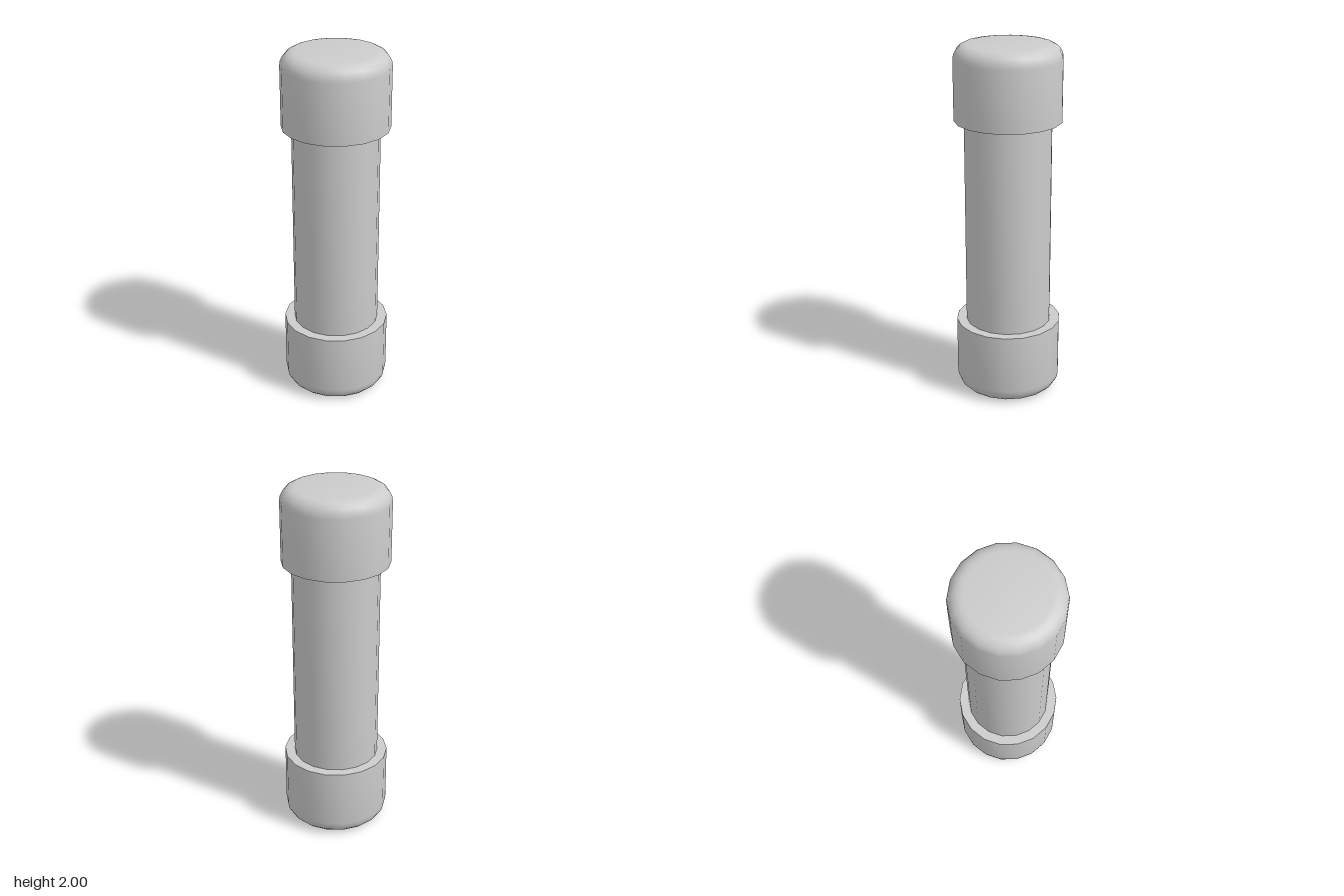
import * as THREE from 'three';
import { toCreasedNormals } from 'three/addons/utils/BufferGeometryUtils.js';

const SIDES = 18;
const CAP_RADIUS = 0.295, CAP_HEIGHT = 0.415, ROUNDING = 0.08;
const TUBE_RADIUS = 0.24;

// Turned solid with a corner on the x axis
function turned(points) {
  const profile = points.map(([r, y]) => new THREE.Vector2(r, y));
  const geometry = new THREE.LatheGeometry(profile, SIDES, Math.PI / 2);
  return toCreasedNormals(geometry, Math.PI / 4);
}

export function createModel() {
  const group = new THREE.Group();
  const material = new THREE.MeshStandardMaterial({ color: 0xcccccc });

  const add = (name, geometry) => {
    const mesh = new THREE.Mesh(geometry, material);
    mesh.name = name;
    group.add(mesh);
    return mesh;
  };

  // Slim body running into both caps
  add('tube', turned([[TUBE_RADIUS, 0.38], [TUBE_RADIUS, 1.62]]));

  // End cap: flat inner rim, straight wall, rounded outer edge, flat end
  const profile = [[TUBE_RADIUS - 0.01, -CAP_HEIGHT], [CAP_RADIUS, -CAP_HEIGHT]];
  const steps = 5;
  for (let i = 0; i <= steps; i++) {
    const a = (i / steps) * Math.PI / 2;
    profile.push([
      CAP_RADIUS - ROUNDING + ROUNDING * Math.cos(a),
      -ROUNDING + ROUNDING * Math.sin(a),
    ]);
  }
  profile.push([0, 0]);
  const capGeometry = turned(profile);

  add('topCap', capGeometry).position.y = 2;
  add('bottomCap', capGeometry).rotation.x = Math.PI;

  return group;
}
